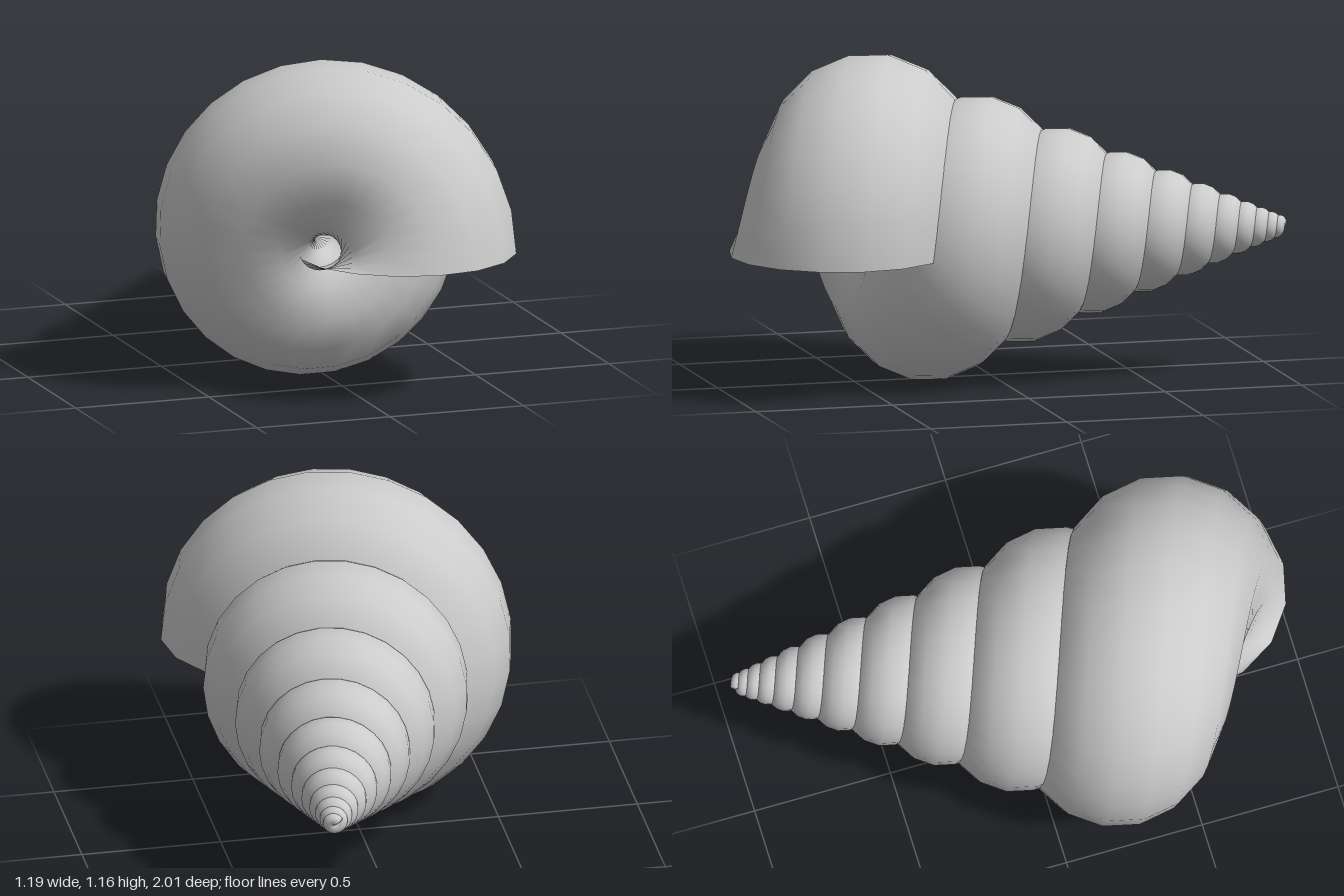
import * as THREE from 'three';

// Spiral shell: a circular section swept along a growing helix around a slanted axis
export function createModel() {
  const group = new THREE.Group();
  group.name = 'spiralShell';

  const SIDES = 16, STEPS_PER_TURN = 27, TURNS = 10.4;
  const GROWTH = 1.325;            // size ratio between neighbouring whorls
  const slant = 0.234;             // lean of the axis in the ground plane
  const apex = new THREE.Vector3(0.31, 0.55, -1.07);
  const axis = new THREE.Vector3(-Math.sin(slant), 0, Math.cos(slant));
  const side = new THREE.Vector3(Math.cos(slant), 0, Math.sin(slant));
  const up = new THREE.Vector3(0, 1, 0);

  // section at the mouth: distance along the axis, distance from it, lag and radius
  const mouth = { along: 1.663, out: 0.283, lag: 0.04, radius: 0.39 };

  const steps = Math.round(TURNS * STEPS_PER_TURN);
  const positions = [], indices = [];
  const radial = new THREE.Vector3(), travel = new THREE.Vector3();
  const centre = new THREE.Vector3(), p = new THREE.Vector3();

  // ring -1 is a point that closes the tip
  for (let i = -1; i <= steps; i++) {
    const back = (steps - Math.max(i, 0)) / STEPS_PER_TURN; // turns before the mouth
    const phi = back * Math.PI * 2;
    const s = Math.pow(GROWTH, -back);
    radial.copy(side).multiplyScalar(Math.cos(phi)).addScaledVector(up, Math.sin(phi));
    travel.copy(side).multiplyScalar(Math.sin(phi)).addScaledVector(up, -Math.cos(phi));
    centre.copy(apex)
      .addScaledVector(axis, mouth.along * s)
      .addScaledVector(radial, mouth.out * s)
      .addScaledVector(travel, mouth.lag * s);
    const r = i < 0 ? 0 : mouth.radius * s;
    for (let j = 0; j < SIDES; j++) {
      const a = ((j + 0.5) / SIDES) * Math.PI * 2;
      p.copy(centre)
        .addScaledVector(radial, r * Math.cos(a))
        .addScaledVector(axis, r * Math.sin(a));
      positions.push(p.x, p.y, p.z);
    }
  }
  for (let i = 0; i <= steps; i++) {
    for (let j = 0; j < SIDES; j++) {
      const k = (j + 1) % SIDES;
      const a = i * SIDES + j, b = i * SIDES + k;
      const c = a + SIDES, d = b + SIDES;
      if (i > 0) indices.push(a, b, c);
      indices.push(b, d, c);
    }
  }

  const geometry = new THREE.BufferGeometry();
  geometry.setAttribute('position', new THREE.Float32BufferAttribute(positions, 3));
  geometry.setIndex(indices);
  geometry.computeVertexNormals();

  // open mouth, so both faces show
  const whorls = new THREE.Mesh(
    geometry,
    new THREE.MeshStandardMaterial({ color: 0xcccccc, side: THREE.DoubleSide })
  );
  whorls.name = 'whorls';
  group.add(whorls);
  return group;
}
